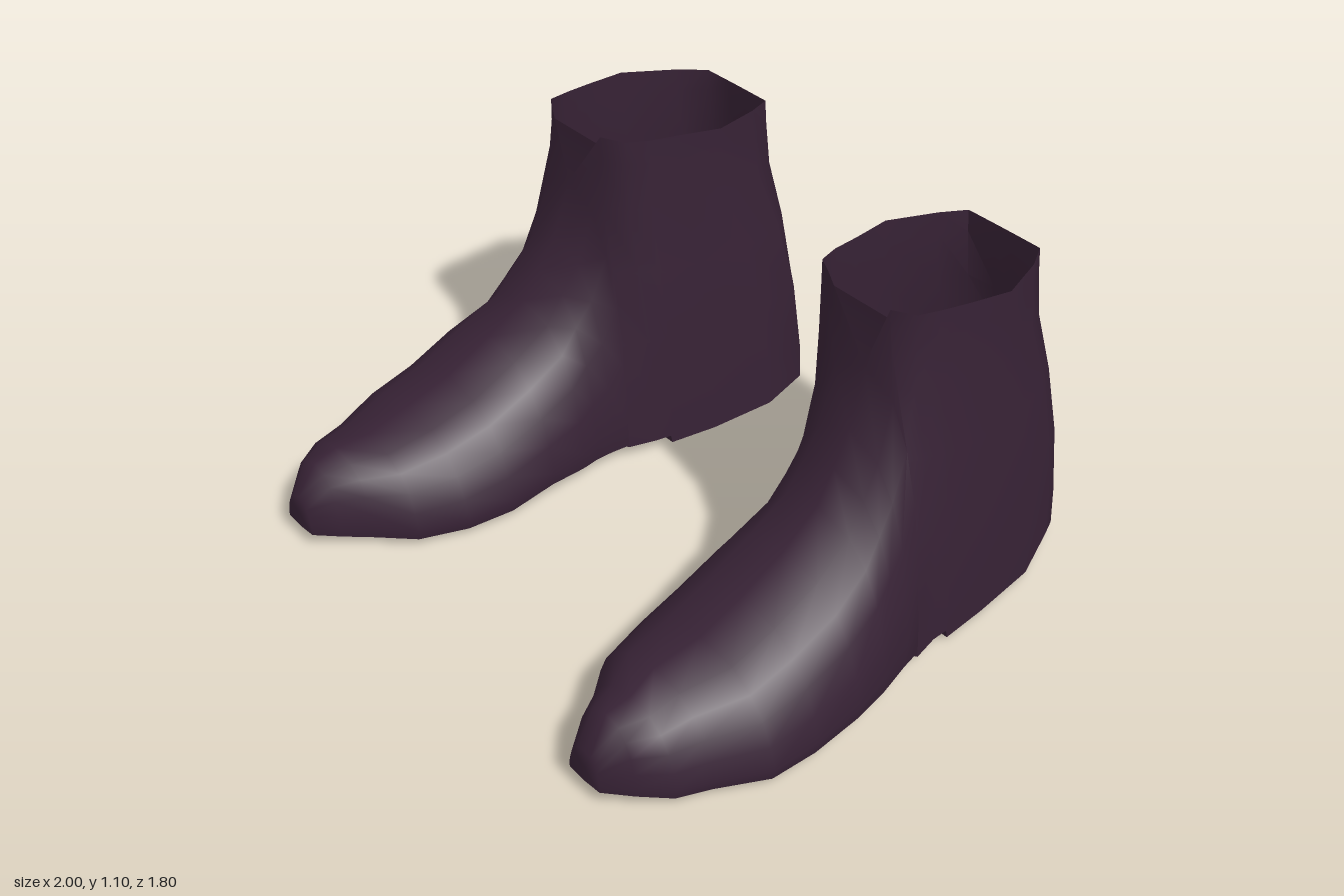
import * as THREE from 'three';
import { toCreasedNormals } from 'three/addons/utils/BufferGeometryUtils.js';

const leather = new THREE.MeshStandardMaterial({ color: 0x372235, side: THREE.DoubleSide });
leather.name = 'dark plum leather';

// Foot stations from toe to ankle: [z, inner x, outer x, top y, sole edge y, sole middle y]
const footStations = [
  [0.9, 0.63, 0.76, 0.16, 0.055, 0.05], [0.83, 0.577, 0.825, 0.25, 0.045, 0.032], [0.75, 0.52, 0.89, 0.267, 0.035, 0.02],
  [0.65, 0.43, 0.925, 0.287, 0.03, 0.005], [0.5, 0.38, 0.995, 0.317, 0.025, 0.005], [0.35, 0.36, 1.0, 0.368, 0.03, 0.006],
  [0.2, 0.355, 1.0, 0.445, 0.06, 0.012], [0.07, 0.37, 0.965, 0.53, 0.05, 0.028], [0.01, 0.38, 0.945, 0.625, 0.05, 0.04],
  [-0.05, 0.38, 0.925, 0.72, 0.05, 0.048], [-0.105, 0.375, 0.91, 0.9, 0.05, 0.05],
];

// Dome rule of the foot: share of height and share of half width
const heights = [0, 0.12, 0.35, 0.58, 0.78, 0.93, 1];
const widths = [0.97, 1, 0.93, 0.83, 0.66, 0.42, 0];
const top = heights.length - 1;

// Heel and shaft stations: [base z, inner x, outer x, rim z, inner x, outer x, sole y]
const shaftStations = [
  [-0.11, 0.375, 0.91, -0.11, 0.49, 0.72, 0.05], [-0.2, 0.35, 0.885, -0.15, 0.42, 0.78, 0.048],
  [-0.255, 0.343, 0.88, -0.22, 0.395, 0.795, 0.045], [-0.26, 0.342, 0.88, -0.225, 0.394, 0.796, 0.018],
  [-0.42, 0.32, 0.86, -0.32, 0.378, 0.81, 0.015], [-0.64, 0.3, 0.83, -0.455, 0.35, 0.825, 0.024],
  [-0.81, 0.34, 0.753, -0.62, 0.395, 0.755, 0.036], [-0.86, 0.425, 0.728, -0.705, 0.43, 0.7, 0.04],
  [-0.9, 0.515, 0.55, -0.706, 0.53, 0.6, 0.043],
];

// How far the wall follows the base rather than the rim: [y, share]
const taper = [[0.05, 1], [0.24, 0.95], [0.42, 0.8], [0.6, 0.57], [0.74, 0.29], [0.87, 0.08], [1.055, 0]];

const lerp = THREE.MathUtils.lerp;

function baseShare(y) {
  if (y <= taper[0][0]) return 1;
  const i = taper.findIndex(([level]) => level >= y);
  if (i < 0) return 0;
  const [a, b] = [taper[i - 1], taper[i]];
  return lerp(a[1], b[1], (y - a[0]) / (b[0] - a[0]));
}

// Closed loop: up the outer side, down the inner side, then the middle of the sole
function closeLoop(outer, inner, soleY) {
  const middle = [(outer[0][0] + inner[0][0]) / 2, soleY, outer[0][2]];
  return [...outer, ...inner.reverse(), middle];
}

function footLoop([z, x0, x1, topY, edgeY, soleY]) {
  const side = (sign) => heights.map((h, j) => [(x0 + x1) / 2 + sign * widths[j] * (x1 - x0) / 2, lerp(edgeY, topY, h), z]);
  return closeLoop(side(1), side(-1), soleY);
}

function shaftLoop([bz, bx0, bx1, rz, rx0, rx1, soleY]) {
  const rimY = 1.12 + rz * 0.092;
  const side = (baseX, rimX) => heights.map((h) => {
    const y = lerp(soleY, rimY, h);
    const k = baseShare(y);
    return [lerp(rimX, baseX, k), y, lerp(rz, bz, k)];
  });
  return closeLoop(side(bx1, rx1), side(bx0, rx0), soleY);
}

function bootGeometry(side) {
  const loops = [...footStations.map(footLoop), ...shaftStations.map(shaftLoop)];
  const n = loops[0].length;
  const points = loops.flat();
  const index = [];
  const tri = (a, b, c) => (side > 0 ? index.push(a, b, c) : index.push(a, c, b));
  const quad = (a, b, c, d) => { tri(a, b, c); tri(a, c, d); };

  // Skin, left open over the shaft
  for (let s = 0; s < loops.length - 1; s++) {
    for (let i = 0; i < n; i++) {
      if (i === top) continue;
      const a = s * n + i, b = s * n + (i + 1) % n;
      quad(a, a + n, b + n, b);
    }
  }

  // Toe end
  const toe = points.length;
  points.push([0.695, 0.1, 0.9]);
  for (let i = 0; i < n; i++) tri(toe, i, (i + 1) % n);

  // Back of the heel
  const back = (loops.length - 1) * n;
  for (let j = 0; j < top; j++) quad(back + j, back + n - 2 - j, back + n - 3 - j, back + j + 1);

  // Front of the shaft, cut a little below the rim to leave a notch
  const throat = (footStations.length - 1) * n + top;
  const cut = points.length;
  for (const corner of [throat + n, throat + n + 1]) {
    const p = points[throat], q = points[corner];
    points.push(p.map((v, axis) => lerp(v, q[axis], 0.87)));
  }
  tri(throat, cut, cut + 1);

  const geometry = new THREE.BufferGeometry();
  geometry.setAttribute('position', new THREE.Float32BufferAttribute(points.flatMap(([x, y, z]) => [x * side, y, z]), 3));
  geometry.setIndex(index);
  return toCreasedNormals(geometry, 1.1);
}

export function createModel() {
  const group = new THREE.Group();
  group.name = 'pair of ankle boots';
  for (const side of [1, -1]) {
    const boot = new THREE.Mesh(bootGeometry(side), leather);
    boot.name = side > 0 ? 'leftBoot' : 'rightBoot';
    group.add(boot);
  }
  return group;
}
